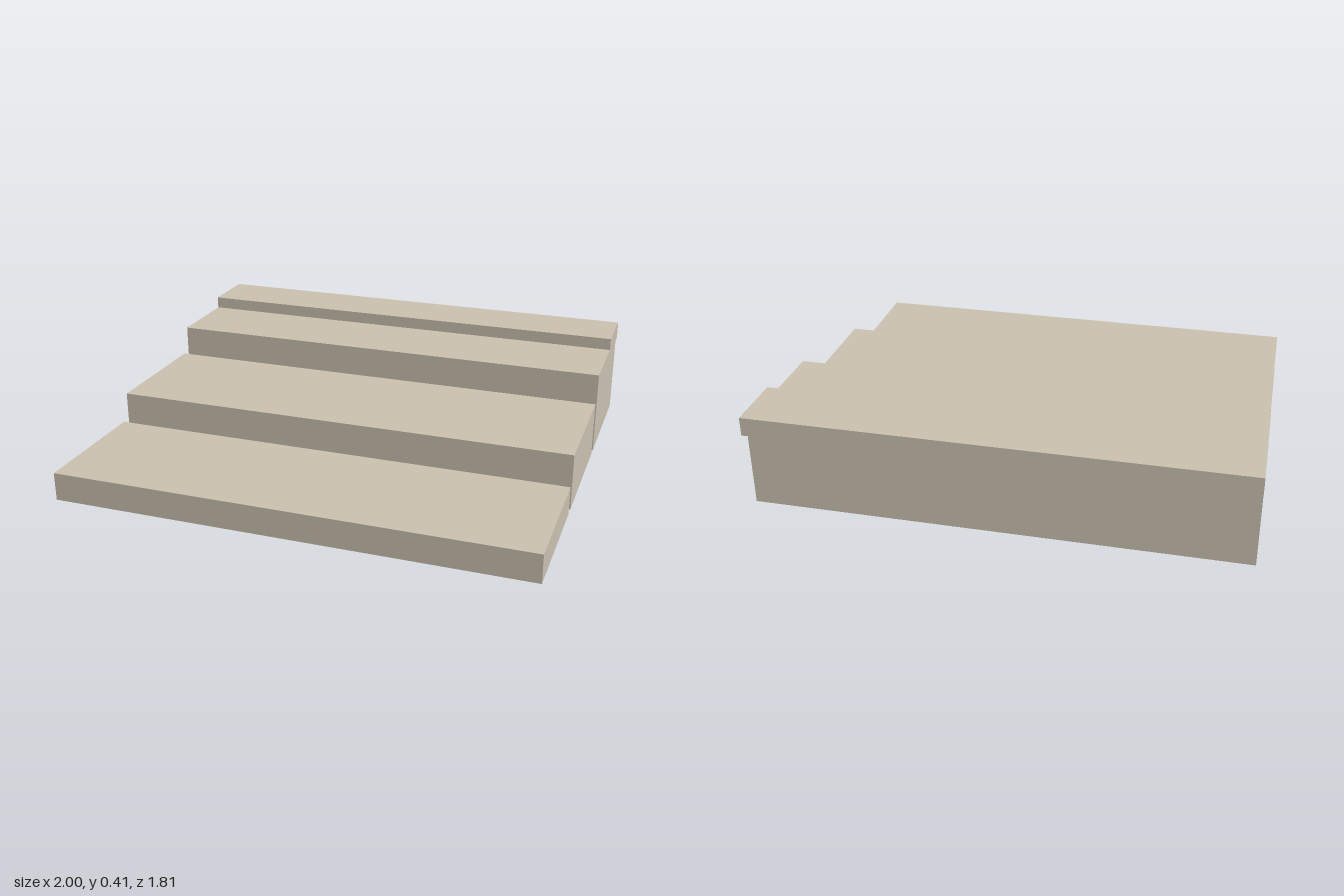
import * as THREE from 'three';

const WIDTH = 2;

export function createModel() {
  const model = new THREE.Group();
  model.name = 'steps';
  const stone = new THREE.MeshStandardMaterial({ color: 0xc8bfae });
  stone.name = 'pale stone';

  // Extrudes a [z, y] side profile across the full width
  function addBlock(name, profile) {
    const shape = new THREE.Shape(profile.map(([z, y]) => new THREE.Vector2(z, y)));
    const geometry = new THREE.ExtrudeGeometry(shape, { depth: WIDTH, bevelEnabled: false });
    geometry.rotateY(-Math.PI / 2).translate(WIDTH / 2, 0, 0);
    const mesh = new THREE.Mesh(geometry, stone);
    mesh.name = name;
    model.add(mesh);
  }

  // Two plain steps, separated by narrow gaps
  const depth = 0.56, pitch = 0.602, rise = 0.12, front = 0.906;
  ['lowerStep', 'middleStep'].forEach((name, i) => {
    const z = front - i * pitch, h = rise * (i + 1);
    addBlock(name, [[z - depth, 0], [z, 0], [z, h], [z - depth, h]]);
  });

  // Top step with a raised landing slab overhanging its back
  const z = front - 2 * pitch, back = z - depth;
  addBlock('topStep', [
    [back, 0], [z, 0], [z, 0.36], [-0.647, 0.36],
    [-0.647, 0.413], [-front, 0.413], [-front, 0.335], [back, 0.335],
  ]);

  return model;
}
